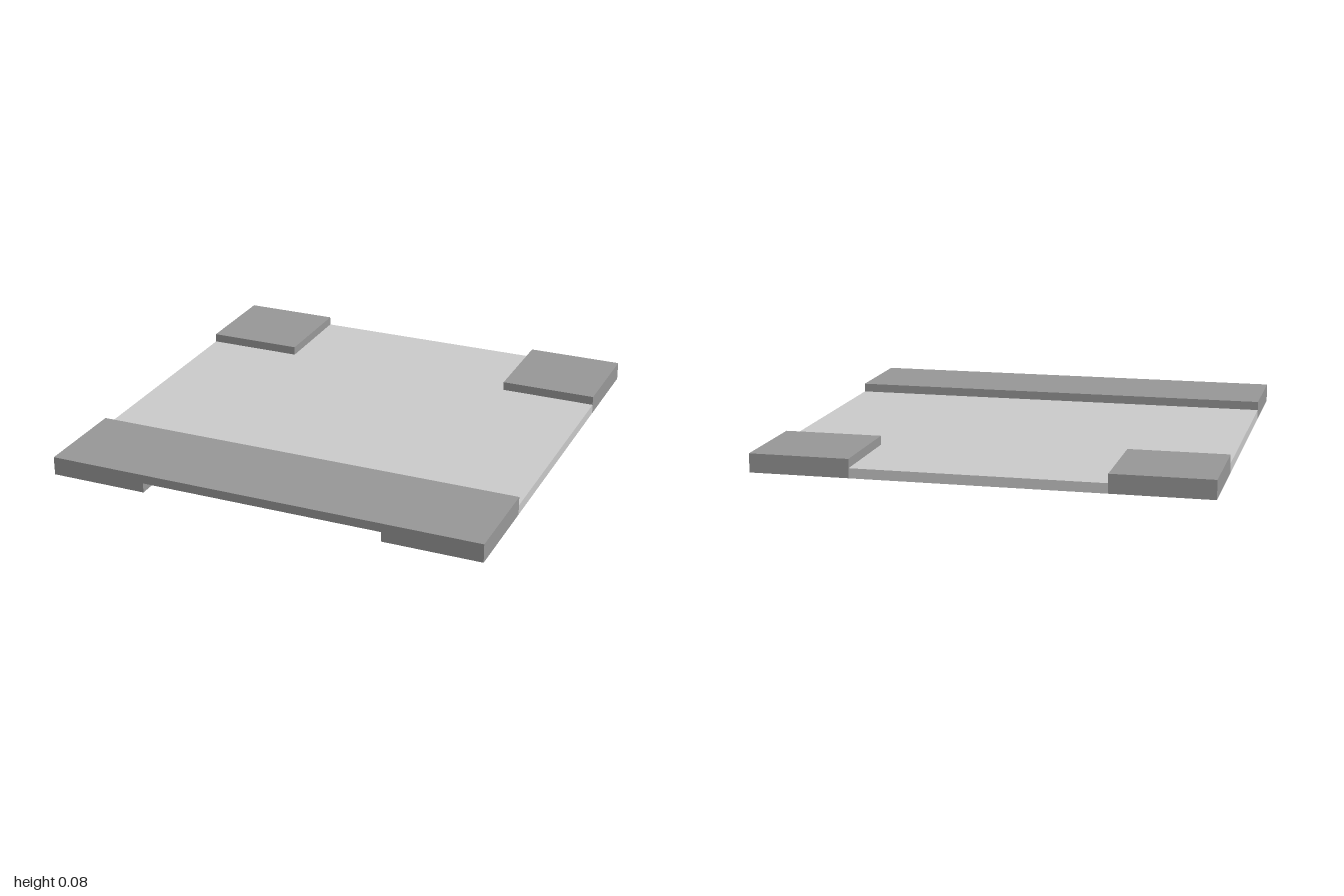
import * as THREE from 'three';

const OUT = 1, INN = 0.555;         // outer edge and inner edge of the corner blocks
const TOP = 0.084, DECK = 0.044;    // block height and deck height

export function createModel() {
  const model = new THREE.Group();
  const lightGrey = new THREE.MeshStandardMaterial({ color: 0xcccccc });
  lightGrey.name = 'light grey';
  const darkGrey = new THREE.MeshStandardMaterial({ color: 0x999999 });
  darkGrey.name = 'dark grey';

  const add = (name, geometry, material) => {
    const mesh = new THREE.Mesh(geometry, material);
    mesh.name = name;
    model.add(mesh);
    return mesh;
  };

  // T-shaped deck: full width in the middle, narrowing between the back blocks
  const outline = new THREE.Shape([
    [-OUT, -INN], [OUT, -INN], [OUT, INN], [INN, INN],
    [INN, OUT], [-INN, OUT], [-INN, INN], [-OUT, INN],
  ].map(([x, y]) => new THREE.Vector2(x, y)));
  const deck = new THREE.ExtrudeGeometry(outline, { depth: DECK, bevelEnabled: false });
  deck.rotateX(-Math.PI / 2);
  add('deck', deck, lightGrey);

  // Raised blocks on the two back corners
  const size = OUT - INN, mid = (OUT + INN) / 2;
  for (const [side, s] of [['left', 1], ['right', -1]]) {
    add(`${side}BackBlock`, new THREE.BoxGeometry(size, TOP, size), darkGrey)
      .position.set(s * mid, TOP / 2, -mid);
  }

  // Front bar: two feet joined by a bridge with an open gap beneath
  const arch = new THREE.Shape([
    [-OUT, 0], [-INN, 0], [-INN, DECK], [INN, DECK],
    [INN, 0], [OUT, 0], [OUT, TOP], [-OUT, TOP],
  ].map(([x, y]) => new THREE.Vector2(x, y)));
  add('frontBar', new THREE.ExtrudeGeometry(arch, { depth: size, bevelEnabled: false }), darkGrey)
    .position.z = INN;

  return model;
}
